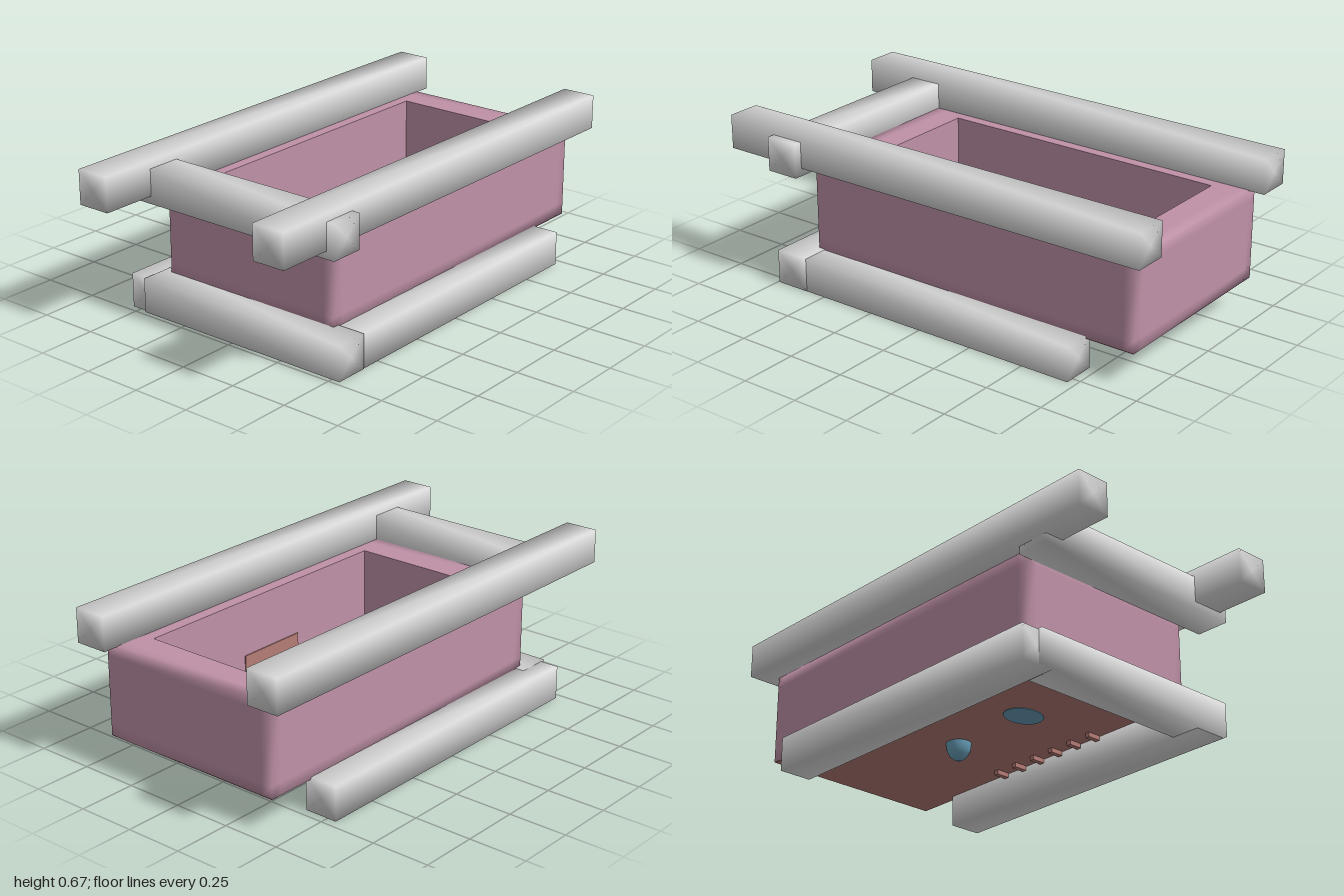
import * as THREE from 'three';
import { mergeVertices } from 'three/addons/utils/BufferGeometryUtils.js';
import { RoundedBoxGeometry } from 'three/addons/geometries/RoundedBoxGeometry.js';

const paint = (name, color) => Object.assign(new THREE.MeshStandardMaterial({ color }), { name });

// Weld all corners so the shading runs softly over the edges
function weld(geometry) {
  geometry.deleteAttribute('normal');
  geometry.deleteAttribute('uv');
  const g = mergeVertices(geometry);
  g.computeVertexNormals();
  return g;
}

// Skin rectangular rings of equal point count, listed from the bottom outwards
function loft(rings) {
  const n = rings[0].length, index = [];
  for (let i = 0; i < rings.length - 1; i++) {
    for (let j = 0; j < n; j++) {
      const a = i * n + j, b = i * n + (j + 1) % n;
      index.push(a, b, b + n, a, b + n, a + n);
    }
  }
  const g = new THREE.BufferGeometry();
  g.setAttribute('position', new THREE.Float32BufferAttribute(rings.flat(2), 3));
  g.setIndex(index);
  return g;
}

// Rectangle at height y with two extra points, a step away from each corner
function ring(x0, x1, z0, z1, y, step) {
  const s = step;
  return [
    [x0, y, z1 - s], [x0, y, z1], [x0 + s, y, z1],
    [x1 - s, y, z1], [x1, y, z1], [x1, y, z1 - s],
    [x1, y, z0 + s], [x1, y, z0], [x1 - s, y, z0],
    [x0 + s, y, z0], [x0, y, z0], [x0, y, z0 + s],
  ];
}

export function createModel() {
  const model = new THREE.Group();
  const pink = paint('tub pink', 0xbf91a7);
  const grey = paint('rail grey', 0xd8d8d8);
  const clay = paint('floor clay', 0xb57c76);
  const blue = paint('fitting blue', 0x69a0ba);

  const add = (name, geometry, material, x = 0, y = 0, z = 0, parent = model) => {
    const mesh = new THREE.Mesh(geometry, material);
    mesh.name = name;
    mesh.position.set(x, y, z);
    parent.add(mesh);
    return mesh;
  };

  // Square rails
  const rail = (name, length, axis, x, y, z) => {
    const g = new THREE.CylinderGeometry(0.1025, 0.1025, length, 4);
    g.rotateY(Math.PI / 4);
    if (axis === 'x') g.rotateZ(Math.PI / 2);
    else g.rotateX(Math.PI / 2);
    add(name, weld(g), grey, x, y, z);
  };
  rail('frontTopRail', 2, 'x', 0, 0.6, 0.435);
  rail('backTopRail', 2, 'x', 0, 0.6, -0.445);
  rail('frontBottomRail', 1.435, 'x', -0.003, 0.073, 0.462);
  rail('backBottomRail', 1.435, 'x', -0.003, 0.073, -0.468);
  rail('topCrossRail', 1, 'z', -0.692, 0.567, 0.042);
  rail('bottomCrossRail', 1, 'z', -0.665, 0.077, 0.042);

  // Tub shell with softly shaded edges, and its straight inner walls
  const e = 0.05, bottom = 0.138, top = 0.53;
  const outer = (inset, y, step) =>
    ring(-0.62 + inset, 0.93 - inset, -0.42 + inset, 0.42 - inset, y, step);
  const opening = (y) => ring(-0.475, 0.79, -0.325, 0.31, y, 0);
  add('tubShell', weld(loft([
    outer(e, bottom, 0), outer(0, bottom, e), outer(0, bottom + e, e),
    outer(0, top - e, e), outer(0, top, e), outer(e, top, 0),
  ])), pink);
  const flat = (g) => {
    const f = g.toNonIndexed();
    f.computeVertexNormals();
    return f;
  };
  add('tubRim', flat(loft([outer(e, top, 0), opening(top)])), pink);
  add('tubInnerWalls', flat(loft([opening(top), opening(bottom)])), pink);

  // Floor, seen inside and from below
  add('floor', new THREE.BoxGeometry(1.546, 0.016, 0.836), clay, 0.155, 0.143, 0);

  // Small tabs under the front wall and a thin plate on its inner side
  for (let i = 0; i < 6; i++) {
    add('floorTab', new THREE.BoxGeometry(0.022, 0.025, 0.06), clay, 0.36 - i * 0.109, 0.128, 0.355);
  }
  add('wallPlate', new THREE.BoxGeometry(0.32, 0.08, 0.008), clay, 0.125, 0.25, 0.309);

  // Drain plug with a bowl below the floor and a knob above
  const profile = [[0, 0.06], [0.02, 0.066], [0.038, 0.082], [0.049, 0.105], [0.053, 0.135],
    [0.051, 0.165], [0.042, 0.185], [0.026, 0.197], [0.018, 0.2], [0.018, 0.215], [0, 0.218]];
  add('drainPlug', new THREE.LatheGeometry(profile.map((p) => new THREE.Vector2(...p)), 24), blue, 0.255, 0, 0.018);

  // Perforated sponge
  const sponge = new THREE.Group();
  sponge.name = 'sponge';
  sponge.position.set(-0.134, 0, 0.018);
  model.add(sponge);
  const base = add('spongeBase', new THREE.CylinderGeometry(1, 1, 0.06, 32), blue, 0, 0.162, 0, sponge);
  base.scale.set(0.07, 1, 0.09);
  add('spongeBody', new RoundedBoxGeometry(0.116, 0.05, 0.212, 3, 0.02), blue, 0, 0.18, 0, sponge);
  for (let i = 0; i < 3; i++) {
    for (let j = 0; j < 4; j++) {
      add('spongeHole', new THREE.CylinderGeometry(0.008, 0.008, 0.006, 10), clay,
        (i - 1) * 0.03, 0.205, (j - 1.5) * 0.042, sponge);
    }
  }
  return model;
}
